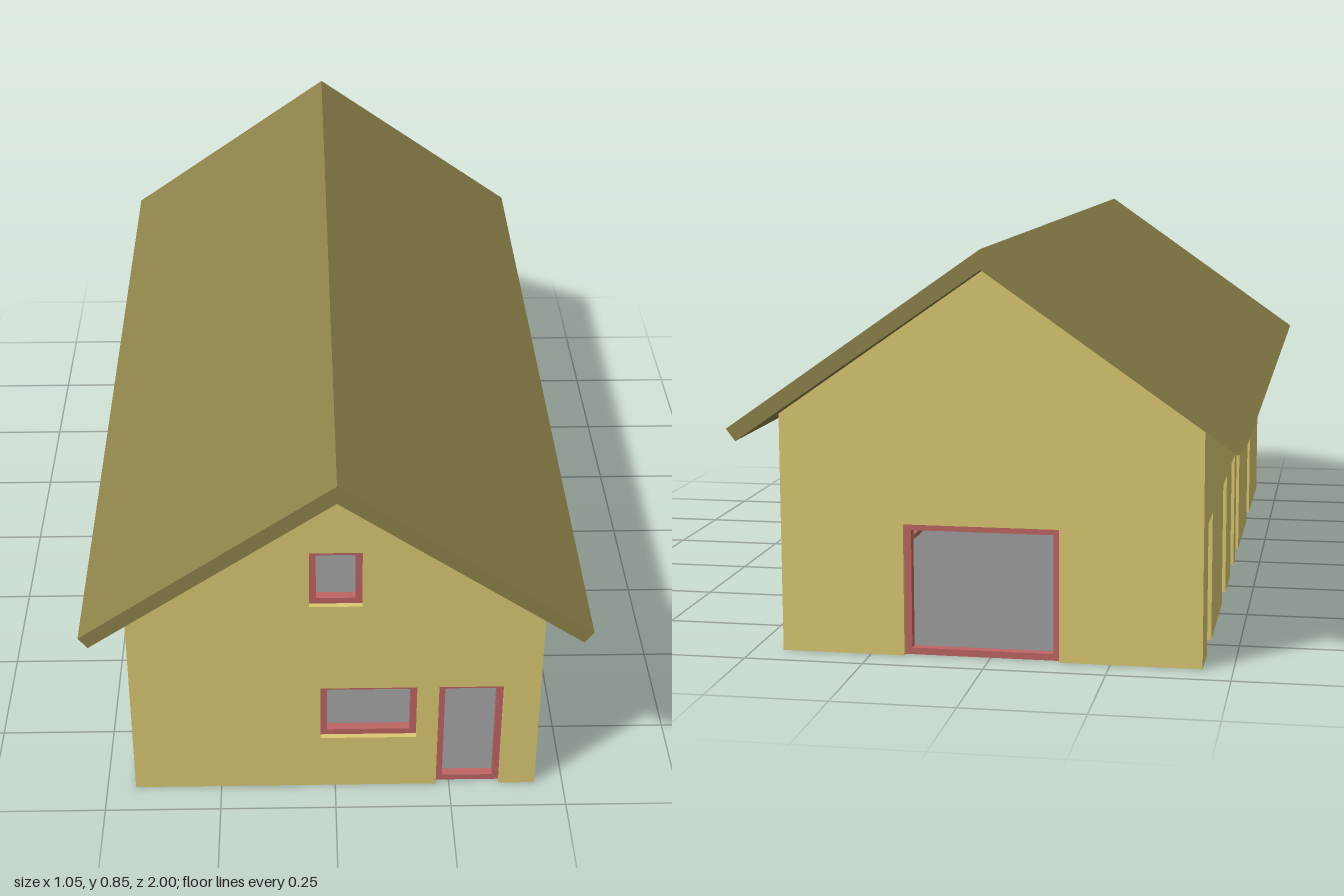
import * as THREE from 'three';

const HALF_W = 0.438, HALF_L = 0.93, EAVE = 0.5, PEAK = 0.807, T = 0.035;
const FRAME = 0.014, RECESS = 0.012, FRAME_DEPTH = 0.02, DOOR_H = 0.277;

const material = (color) => new THREE.MeshStandardMaterial({ color });
const wallMat = material(0xdcc972);
const roofMat = material(0x8e824a);
const frameMat = material(0xbe6664);
const floorMat = material(0x858585);

function extrude(name, shape, depth, mat) {
  const geo = new THREE.ExtrudeGeometry(shape, { depth, bevelEnabled: false });
  const mesh = new THREE.Mesh(geo, mat);
  mesh.name = name;
  return mesh;
}

const polygon = (pts) => new THREE.Shape(pts.map(([x, y]) => new THREE.Vector2(x, y)));

const rectPoints = ({ x0, x1, y0, y1 }, inset = 0) => [
  [x0 + inset, y0 + inset], [x1 - inset, y0 + inset],
  [x1 - inset, y1 - inset], [x0 + inset, y1 - inset],
];

// One wall with its openings and recessed frames; outer face at local z = 0.
function buildWall(name, halfWidth, peak, openings) {
  const group = new THREE.Group();
  group.name = name;

  // Openings that reach the ground are notches in the outline, the others are holes
  const outline = [[-halfWidth, 0]];
  const doors = openings.filter((o) => o.y0 === 0).sort((a, b) => a.x0 - b.x0);
  for (const { x0, x1, y1 } of doors) outline.push([x0, 0], [x0, y1], [x1, y1], [x1, 0]);
  outline.push([halfWidth, 0], [halfWidth, EAVE]);
  if (peak) outline.push([0, peak]);
  outline.push([-halfWidth, EAVE]);
  const shape = polygon(outline);
  for (const o of openings) if (o.y0 > 0) shape.holes.push(polygon(rectPoints(o)));
  const panel = extrude(name + 'Panel', shape, T, wallMat);
  panel.position.z = -T;
  group.add(panel);

  for (const o of openings) {
    const ring = polygon(rectPoints(o));
    ring.holes.push(polygon(rectPoints(o, FRAME)));
    const frame = extrude(o.name, ring, FRAME_DEPTH, frameMat);
    frame.position.z = -RECESS - FRAME_DEPTH;
    group.add(frame);
  }
  return group;
}

const opening = (name, x0, x1, y0, y1) => ({ name, x0, x1, y0, y1 });
const sideDoors = (centres) =>
  centres.map((c) => opening('sideDoorFrame', c - 0.055, c + 0.055, 0, DOOR_H));

export function createModel() {
  const house = new THREE.Group();
  house.name = 'house';

  // Gable walls
  const front = buildWall('frontWall', HALF_W, PEAK, [
    opening('frontDoorFrame', 0.221, 0.36, 0, DOOR_H),
    opening('frontWindowFrame', -0.032, 0.175, 0.137, DOOR_H),
    opening('atticWindowFrame', -0.055, 0.055, 0.497, 0.635),
  ]);
  front.position.z = HALF_L;

  const back = buildWall('backWall', HALF_W, PEAK, [
    opening('backDoorFrame', -0.179, 0.145, 0, DOOR_H),
  ]);
  back.rotation.y = Math.PI;
  back.position.z = -HALF_L;

  // Long side walls fitted between the gables
  const left = buildWall('leftWall', HALF_L - T, 0,
    sideDoors([-0.5, -0.145, 0.116, 0.535, 0.699]));
  left.rotation.y = Math.PI / 2;
  left.position.x = HALF_W;

  const right = buildWall('rightWall', HALF_L - T, 0,
    sideDoors([-0.77, -0.366, -0.1, 0.075, 0.518]));
  right.rotation.y = -Math.PI / 2;
  right.position.x = -HALF_W;

  // Thin floor
  const floor = new THREE.Mesh(
    new THREE.BoxGeometry(2 * (HALF_W - T), 0.004, 2 * (HALF_L - T)), floorMat);
  floor.name = 'floor';
  floor.position.y = 0.002;

  // Pitched roof with overhanging eaves
  const roof = extrude('roof', polygon([
    [0, PEAK], [0.508, 0.453], [0.527, 0.478],
    [0, 0.848], [-0.527, 0.478], [-0.508, 0.453],
  ]), 2, roofMat);
  roof.position.z = -1;

  house.add(front, back, left, right, floor, roof);
  return house;
}
